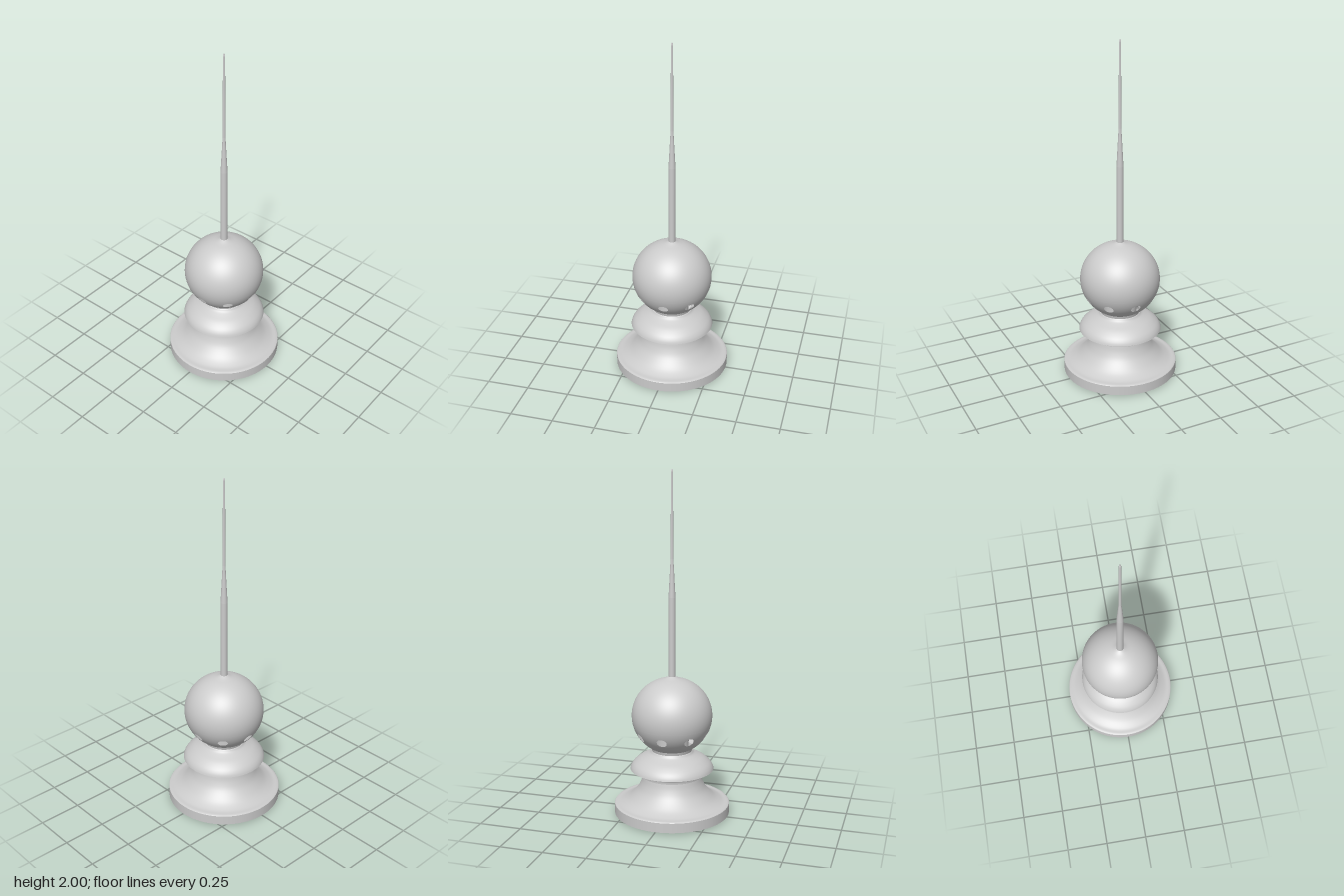
import * as THREE from 'three';
import { mergeGeometries } from 'three/addons/utils/BufferGeometryUtils.js';

const SEG = 96;
const material = new THREE.MeshStandardMaterial({ color: 0xcccccc, side: THREE.DoubleSide });

// Ball: slightly flattened sphere with a ring of vent holes
const BALL = { y: 0.592, r: 0.2345, ry: 0.225 };
const HOLES = 8, HOLE_EL = -0.513, HOLE_R = 0.125, BAND = 0.27;

// Lathe made of smooth runs; edges between runs stay sharp
function lathe(name, runs, segments = SEG) {
  const parts = runs.map(run => new THREE.LatheGeometry(
    run.map(([r, y]) => new THREE.Vector2(r, y)), segments));
  const mesh = new THREE.Mesh(mergeGeometries(parts), material);
  mesh.name = name;
  return mesh;
}

// Smooth curve through a few profile points
function smooth(points, n = 20) {
  const curve = new THREE.SplineCurve(points.map(([r, y]) => new THREE.Vector2(r, y)));
  return curve.getPoints(n).map(p => [p.x, p.y]);
}

// Meridian of the ball between two elevations
function meridian(from, to, n) {
  return Array.from({ length: n + 1 }, (_, i) => {
    const el = from + (to - from) * i / n;
    return [BALL.r * Math.cos(el), BALL.y + BALL.ry * Math.sin(el)];
  });
}

// One sector of the ball, gridded from a round hole out to a rectangle
function ventPatch(centerAz) {
  const perSide = SEG / HOLES, count = perSide * 4, rings = 8;
  const pos = [], nor = [], idx = [];
  for (let j = 0; j <= rings; j++) {
    for (let i = 0; i <= count; i++) {
      const side = Math.floor(i / perSide) % 4;
      const t = (i % perSide) / perSide * 2 - 1;
      const [sx, sy] = [[1, t], [-t, 1], [-1, -t], [t, -1]][side];
      const len = Math.hypot(sx, sy), k = j / rings;
      const az = centerAz + THREE.MathUtils.lerp(
        HOLE_R * sx / len / Math.cos(HOLE_EL), sx * Math.PI / HOLES, k);
      const el = HOLE_EL + THREE.MathUtils.lerp(HOLE_R * sy / len, sy * BAND, k);
      const d = new THREE.Vector3(
        Math.sin(az) * Math.cos(el), Math.sin(el), Math.cos(az) * Math.cos(el));
      pos.push(d.x * BALL.r, BALL.y + d.y * BALL.ry, d.z * BALL.r);
      d.set(d.x / BALL.r, d.y / BALL.ry, d.z / BALL.r).normalize();
      nor.push(d.x, d.y, d.z);
      if (j < rings && i < count) {
        const a = j * (count + 1) + i, b = a + count + 1;
        idx.push(a, b, b + 1, a, b + 1, a + 1);
      }
    }
  }
  const g = new THREE.BufferGeometry();
  g.setAttribute('position', new THREE.Float32BufferAttribute(pos, 3));
  g.setAttribute('normal', new THREE.Float32BufferAttribute(nor, 3));
  g.setIndex(idx);
  return g;
}

export function createModel() {
  const model = new THREE.Group();
  model.name = 'finial';

  // Hollow flared base with an upright rim
  model.add(lathe('base', [
    [[0.332, 0.058], [0.332, 0.005]],
    [[0.332, 0.005], [0.338, 0.005]],
    [[0.338, 0.005], [0.338, 0.062]],
    [[0.338, 0.062], [0.334, 0.067], [0.322, 0.068]],
    smooth([[0.322, 0.068], [0.295, 0.073], [0.25, 0.098], [0.205, 0.145], [0.182, 0.19], [0.172, 0.228]]),
  ]));

  // Waist groove and domed collar
  model.add(lathe('collar', [
    [[0.172, 0.228], [0.178, 0.23]],
    smooth([[0.178, 0.23], [0.18, 0.246], [0.192, 0.262], [0.212, 0.272]], 10),
    [[0.212, 0.272], [0.2445, 0.272]],
    smooth([[0.2445, 0.272], [0.238, 0.29], [0.222, 0.312], [0.19, 0.337], [0.155, 0.354], [0.13, 0.367], [0.121, 0.378]]),
    [[0.121, 0.378], [0.117, 0.382]],
    [[0.117, 0.382], [0.122, 0.403]],
  ]));

  // Ball: lower cap, vent band, upper cap
  const ball = new THREE.Group();
  ball.name = 'ball';
  const low = -Math.acos(0.122 / BALL.r), topEl = Math.acos(0.06 / BALL.r);
  ball.add(lathe('ballLower', [meridian(low, HOLE_EL - BAND, 8)]));
  ball.add(lathe('ballUpper', [meridian(HOLE_EL + BAND, topEl, 40)]));
  const patches = Array.from({ length: HOLES }, (_, i) => ventPatch(i * Math.PI * 2 / HOLES));
  const vents = new THREE.Mesh(mergeGeometries(patches), material);
  vents.name = 'ventBand';
  ball.add(vents);
  model.add(ball);

  // Small fillet where the rod leaves the ball
  const [topR, topY] = meridian(topEl, topEl, 1)[0];
  model.add(lathe('rodFillet', [
    smooth([[topR, topY], [0.042, 0.815], [0.028, 0.821], [0.02, 0.825]], 10),
  ]));

  // Mounting post running up inside the hollow body
  model.add(lathe('post', [
    [[0, 0], [0.098, 0]],
    [[0.098, 0], [0.098, 0.6]],
    [[0.098, 0.6], [0, 0.6]],
  ], 48));

  // Tapered rod and needle
  model.add(lathe('rod', [
    [[0.02, 0.6], [0.02, 1.285]],
    [[0.02, 1.285], [0.008, 1.505]],
    [[0.008, 1.505], [0.006, 1.985]],
    [[0.006, 1.985], [0.004, 1.996], [0, 2]],
  ], 24));

  return model;
}
